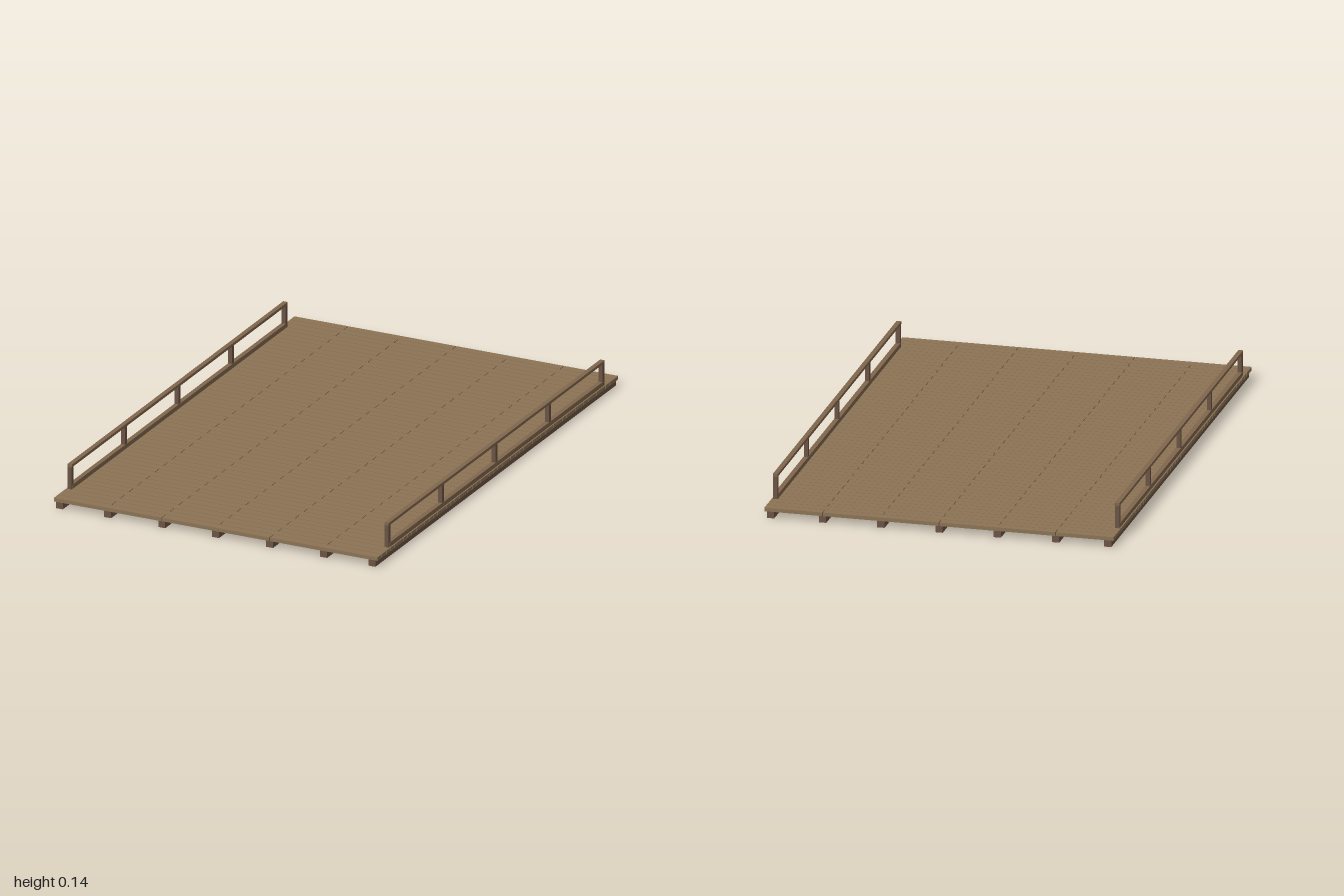
import * as THREE from 'three';

const plankWood = new THREE.MeshStandardMaterial({ name: 'plank wood', color: 0x8b7355 });
const beamWood = new THREE.MeshStandardMaterial({ name: 'dark beam wood', color: 0x6b5344 });
const railWood = new THREE.MeshStandardMaterial({ name: 'rail wood', color: 0x80664d });

const HALF_WIDTH = 0.664;
const DECK_BOTTOM = 0.025;
const DECK_TOP = 0.039;

// Box given by its extents along each axis
function box(name, material, [x0, x1], [y0, y1], [z0, z1]) {
  const mesh = new THREE.Mesh(new THREE.BoxGeometry(x1 - x0, y1 - y0, z1 - z0), material);
  mesh.position.set((x0 + x1) / 2, (y0 + y1) / 2, (z0 + z1) / 2);
  mesh.name = name;
  return mesh;
}

// Staggered plank rows: half-full-full-half alternating with three full planks
function createDeck() {
  const deck = new THREE.Group();
  deck.name = 'deck';
  const rows = 56, pitch = 2 / rows, gap = 0.0015;
  const third = (2 * HALF_WIDTH) / 3;
  const joints = [
    [-HALF_WIDTH, -third, 0, third, HALF_WIDTH],
    [-HALF_WIDTH, -third / 2, third / 2, HALF_WIDTH],
  ];
  for (let row = 0; row < rows; row++) {
    const z = -1 + row * pitch;
    const ends = joints[row % 2];
    for (let i = 0; i < ends.length - 1; i++) {
      const left = ends[i] + (i > 0 ? gap : 0);
      const right = ends[i + 1] - (i < ends.length - 2 ? gap : 0);
      deck.add(box('plank', plankWood, [left, right], [DECK_BOTTOM, DECK_TOP],
        [z + (row > 0 ? gap : 0), z + pitch - (row < rows - 1 ? gap : 0)]));
    }
  }
  return deck;
}

// Long beams carrying the deck
function createBeams() {
  const beams = new THREE.Group();
  beams.name = 'beams';
  for (const x of [-0.641, -0.443, -0.221, 0, 0.221, 0.443, 0.641]) {
    beams.add(box('beam', beamWood, [x - 0.014, x + 0.014], [0, DECK_BOTTOM], [-1, 1]));
  }
  return beams;
}

// Posts, kerb and handrail along one edge
function createRailing(side) {
  const railing = new THREE.Group();
  railing.name = side > 0 ? 'leftRailing' : 'rightRailing';
  const x = side * 0.65;
  const half = 0.888;
  for (let i = -2; i <= 2; i++) {
    const z = (i * half) / 2;
    railing.add(box('post', beamWood, [x - 0.008, x + 0.008], [DECK_TOP, 0.128], [z - 0.008, z + 0.008]));
  }
  railing.add(box('kerb', railWood, [x - 0.009, x + 0.009], [DECK_TOP, 0.056], [-half, half]));
  railing.add(box('handrail', railWood, [x - 0.009, x + 0.009], [0.126, 0.137], [-half - 0.009, half + 0.009]));
  return railing;
}

export function createModel() {
  const model = new THREE.Group();
  model.name = 'woodenBridgeDeck';
  model.add(createBeams(), createDeck(), createRailing(1), createRailing(-1));
  return model;
}
